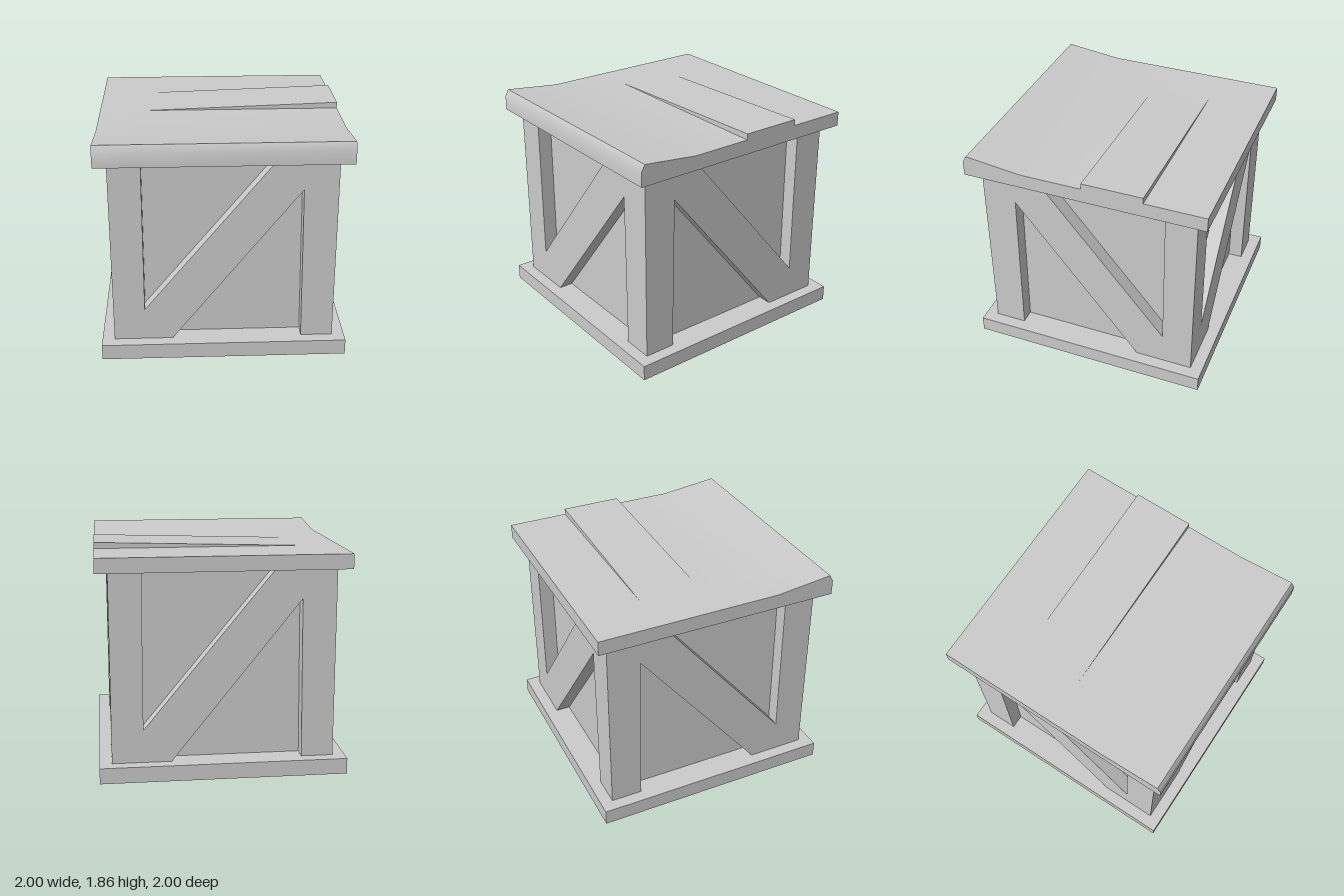
import * as THREE from 'three';
import { toCreasedNormals } from 'three/addons/utils/BufferGeometryUtils.js';

const material = new THREE.MeshStandardMaterial({ color: 0xcccccc, side: THREE.DoubleSide });
const BASE_Y = 0.13, LID_Y = 1.685, TOP_Y = 1.805;
const OUTER = 0.9, INNER = 0.78;

function mesh(name, geometry) {
  const m = new THREE.Mesh(geometry, material);
  m.name = name;
  return m;
}

function shapeOf(points) {
  return new THREE.Shape(points.map(([x, y]) => new THREE.Vector2(x, y)));
}

// Skin between consecutive cross-sections (arrays of [x, y, z])
function loft(sections) {
  const positions = [];
  const tri = new THREE.Triangle();
  const add = (a, b, c) => {
    tri.a.set(...a); tri.b.set(...b); tri.c.set(...c);
    if (tri.getArea() > 1e-7) positions.push(...a, ...b, ...c);
  };
  for (let i = 0; i < sections.length - 1; i++) {
    const s = sections[i], t = sections[i + 1];
    for (let j = 0; j < s.length - 1; j++) {
      add(s[j], t[j], t[j + 1]);
      add(s[j], t[j + 1], s[j + 1]);
    }
  }
  const g = new THREE.BufferGeometry();
  g.setAttribute('position', new THREE.Float32BufferAttribute(positions, 3));
  g.computeVertexNormals();
  return g;
}

// One crate wall: posts and diagonal brace in one frame, two recessed panels
function createWall(mirror) {
  const wall = new THREE.Group();
  const flip = (pts) => pts.map(([x, y]) => [x * mirror, y]);
  const lower = flip([[-0.42, BASE_Y], [0.625, 1.44], [0.64, BASE_Y]]);
  const upper = flip([[0.41, LID_Y], [-0.645, 0.4], [-0.64, LID_Y]]);
  const outline = [
    [-OUTER * mirror, BASE_Y], ...lower, [OUTER * mirror, BASE_Y],
    [OUTER * mirror, LID_Y], ...upper, [-OUTER * mirror, LID_Y],
  ];
  wall.add(mesh('braceFrame', new THREE.ShapeGeometry(shapeOf(outline)).translate(0, 0, OUTER)));
  for (const [label, tri] of [['lower', lower], ['upper', upper]]) {
    wall.add(mesh(label + 'Panel', new THREE.ShapeGeometry(shapeOf(tri)).translate(0, 0, INNER)));
    const path = mirror < 0 ? [...tri].reverse() : tri;
    wall.add(mesh(label + 'RecessEdge', loft([OUTER, INNER].map((d) => path.map(([x, y]) => [x, y, d])))));
  }
  return wall;
}

// Open base: outer rim plus a ledge cut to the footprint of the walls
function createBase() {
  const base = new THREE.Group();
  base.name = 'base';
  const square = [[1, 1], [-1, 1], [-1, -1], [1, -1], [1, 1]];
  base.add(mesh('baseRim', loft([0, BASE_Y].map((y) => square.map(([x, z]) => [x, y, z])))));

  const half = [
    [-0.42, OUTER], [-0.42, INNER], [0.64, INNER], [0.64, OUTER], [OUTER, OUTER],
    [OUTER, 0.64], [INNER, 0.64], [INNER, -0.42], [OUTER, -0.42], [OUTER, -OUTER],
  ];
  const footprint = [...half, ...half.map(([x, z]) => [-x, -z])];
  const ledge = shapeOf(square.slice(0, 4));
  ledge.holes.push(shapeOf(footprint.map(([x, z]) => [x, -z])));
  base.add(mesh('baseLedge', new THREE.ShapeGeometry(ledge).rotateX(-Math.PI / 2).translate(0, BASE_Y, 0)));
  return base;
}

// Lid profile as [z, y], with one board lifted by the given amount
function lidProfile(lift) {
  return [
    [1, LID_Y], [1, TOP_Y], [0.97, 1.86], [0.5, TOP_Y],
    [0, TOP_Y], [0, TOP_Y + lift], [-0.5, TOP_Y + lift], [-0.5, TOP_Y],
    [-1, TOP_Y], [-1, LID_Y],
  ];
}

// Open-bottomed lid: warped front lip and a loose board rising towards +x
function createLid() {
  const lid = new THREE.Group();
  lid.name = 'lid';
  const stations = [[-1, 0], [-0.65, 0], [1, 0.05]];
  const skin = loft(stations.map(([x, lift]) => lidProfile(lift).map(([z, y]) => [x, y, z])));
  lid.add(mesh('lidBoards', toCreasedNormals(skin, 0.5)));

  const leftEnd = shapeOf(lidProfile(0.05).map(([z, y]) => [-z, y]));
  lid.add(mesh('lidLeftEnd', new THREE.ShapeGeometry(leftEnd).rotateY(Math.PI / 2).translate(1, 0, 0)));
  const flat = lidProfile(0).filter(([z]) => z !== 0 && z !== -0.5);
  lid.add(mesh('lidRightEnd', new THREE.ShapeGeometry(shapeOf(flat)).rotateY(-Math.PI / 2).translate(-1, 0, 0)));
  return lid;
}

export function createModel() {
  const model = new THREE.Group();
  model.name = 'crate';
  model.add(createBase(), createLid());
  // Neighbouring walls mirror each other
  ['frontWall', 'leftWall', 'backWall', 'rightWall'].forEach((name, i) => {
    const wall = createWall(i % 2 ? -1 : 1);
    wall.name = name;
    wall.rotation.y = (i * Math.PI) / 2;
    model.add(wall);
  });
  return model;
}
